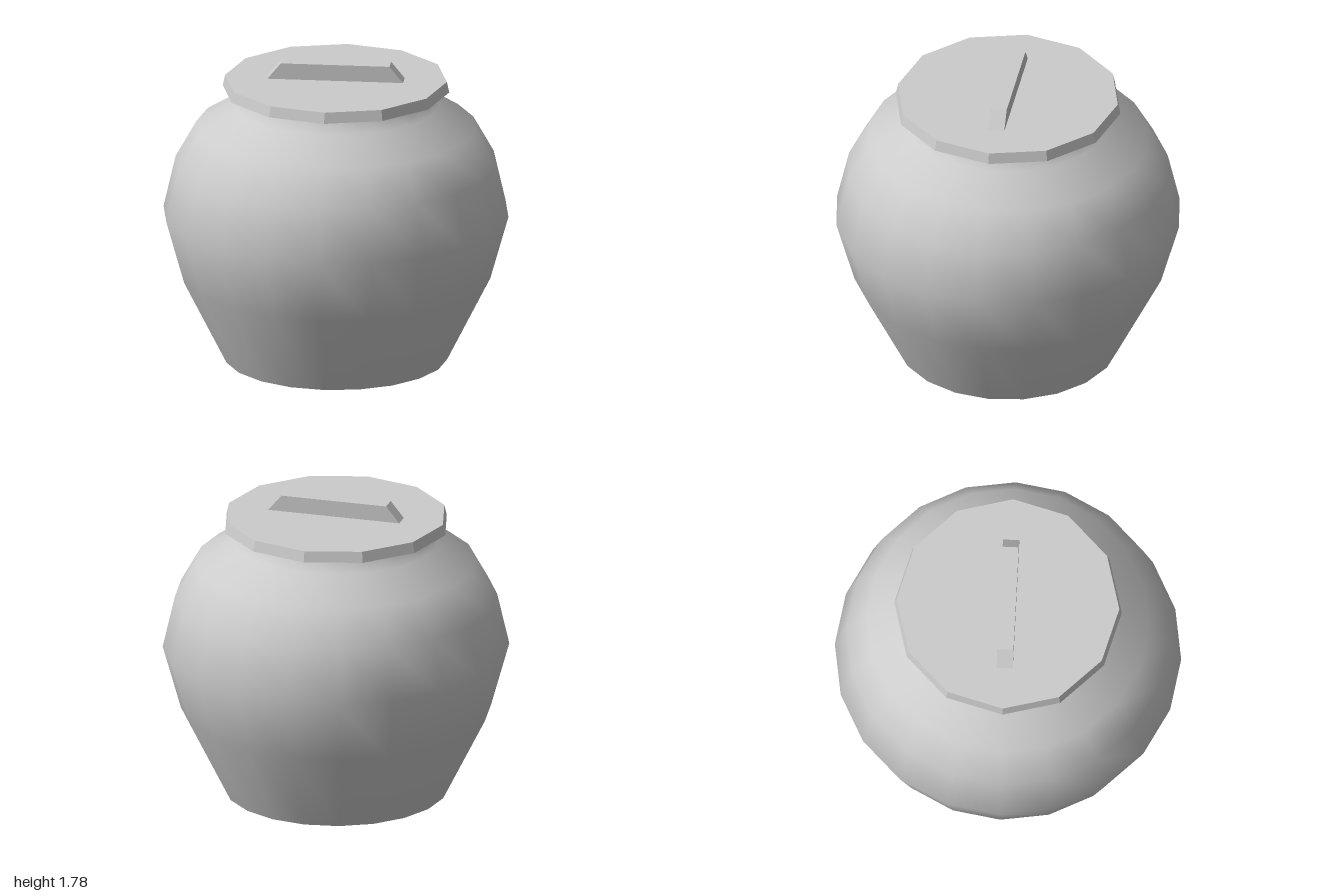
import * as THREE from 'three';

export function createModel() {
  const group = new THREE.Group();
  const smooth = new THREE.MeshStandardMaterial({ color: 0xcccccc, side: THREE.DoubleSide });
  const flat = new THREE.MeshStandardMaterial({ color: 0xcccccc, flatShading: true });

  function add(name, geometry, material) {
    const mesh = new THREE.Mesh(geometry, material);
    mesh.name = name;
    group.add(mesh);
    return mesh;
  }

  // Smooth bellied jar, narrowing to a short neck under the lid
  const profile = [
    [0.645, 0], [0.895, 0.5], [1, 0.875], [0.93, 1.18],
    [0.81, 1.395], [0.595, 1.53], [0.555, 1.625],
  ].map(([r, y]) => new THREE.Vector2(r, y));
  add('jarBody', new THREE.LatheGeometry(profile, 20), smooth);

  // Flat underside
  add('jarBase', new THREE.CircleGeometry(0.645, 20), flat).rotation.x = Math.PI / 2;

  // Twelve-sided lid with slightly tapered rim
  add('lid', new THREE.CylinderGeometry(0.643, 0.657, 0.063, 12), flat).position.y = 1.65;

  // Bar handle with sloping ends
  const bar = new THREE.Shape([
    [-0.395, 1.68], [0.395, 1.68], [0.315, 1.777], [-0.315, 1.777],
  ].map(([x, y]) => new THREE.Vector2(x, y)));
  const handle = new THREE.ExtrudeGeometry(bar, { depth: 0.094, bevelEnabled: false });
  add('lidHandle', handle.translate(0, 0, -0.047), flat);

  return group;
}
